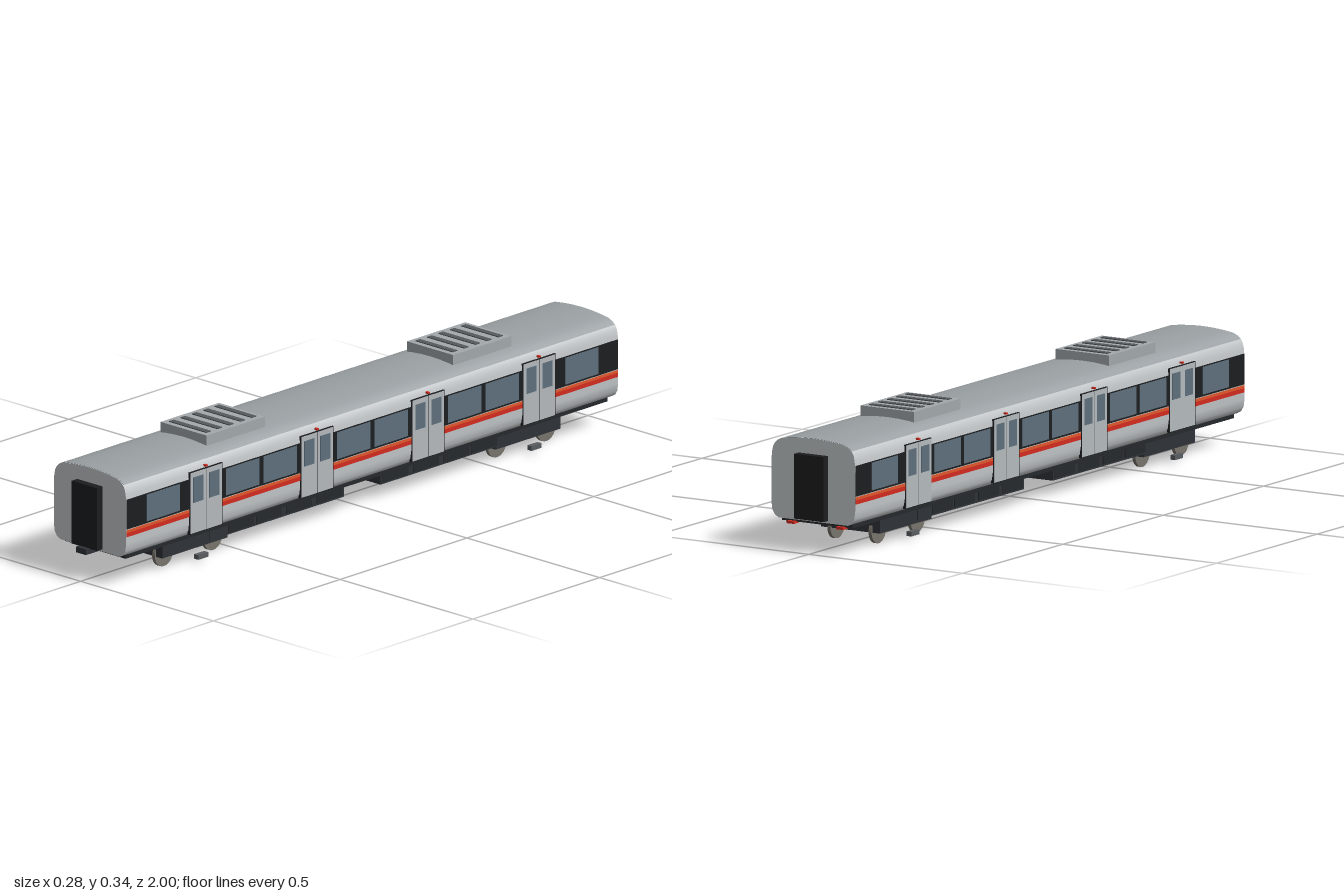
import * as THREE from 'three';
import { toCreasedNormals } from 'three/addons/utils/BufferGeometryUtils.js';

const mat = (color) => new THREE.MeshStandardMaterial({ color });
const M = {
  body: mat(0xc4c8ca), roof: mat(0x9aa0a3), door: mat(0xb4b9bc), dark: mat(0x1c1d1f),
  glass: mat(0x5d6f7b), red: mat(0xd42a20), orange: mat(0xe2562a), floor: mat(0x26292c),
  under: mat(0x2e3236), wheel: mat(0x77736c), shoe: mat(0x5a5d60), unit: mat(0xa2a8ab),
  slat: mat(0x55595c), rod: mat(0x484b4e),
};

export function createModel() {
  const car = new THREE.Group();
  car.name = 'railCar';

  // Box given by its limits on each axis
  const box = (name, m, [x0, x1], [y0, y1], [z0, z1], parent = car) => {
    const mesh = new THREE.Mesh(new THREE.BoxGeometry(x1 - x0, y1 - y0, z1 - z0), m);
    mesh.position.set((x0 + x1) / 2, (y0 + y1) / 2, (z0 + z1) / 2);
    mesh.name = name;
    parent.add(mesh);
    return mesh;
  };
  // Side panel standing slightly proud of the body on side s
  const panel = (name, m, s, out, y, z, parent = car) =>
    box(name, m, s > 0 ? [0.13, out] : [-out, -0.13], y, z, parent);
  const around = (c, half) => [c - half, c + half];
  const extrude = (name, m, pts, length) => {
    const shape = new THREE.Shape(pts);
    const geo = new THREE.ExtrudeGeometry(shape, { depth: length, bevelEnabled: false });
    geo.translate(0, 0, -length / 2);
    const mesh = new THREE.Mesh(toCreasedNormals(geo, 0.6), m);
    mesh.name = name;
    car.add(mesh);
    return mesh;
  };

  // Body cross-section: right half, mirrored to the left
  const lower = [[0.112, 0.087], [0.125, 0.094], [0.133, 0.107], [0.1365, 0.13]];
  const upper = [[0.1365, 0.235], [0.1345, 0.268], [0.131, 0.283], [0.125, 0.294],
    [0.114, 0.303], [0.1, 0.309], [0.07, 0.313], [0.035, 0.316], [0, 0.317]];
  const mirror = (half) => [...half, ...half.slice().reverse().filter((p) => p[0] > 0)
    .map(([x, y]) => [-x, y])].map(([x, y]) => new THREE.Vector2(x, y));
  extrude('bodyShell', M.body, mirror([...lower, ...upper]), 1.94);

  // Roof skin lying over the top of the shell
  const skin = upper.slice(3).map(([x, y]) => [x * 1.004, y + 0.0008]);
  extrude('roof', M.roof, mirror(skin), 1.936);

  box('floorFrame', M.floor, [-0.115, 0.115], [0.077, 0.0885], [-0.95, 0.95]);

  // Gangways at both ends, with front coupler
  for (const s of [1, -1]) {
    const z = s > 0 ? [0.95, 0.992] : [-0.992, -0.95];
    box('gangway', M.dark, [-0.048, 0.048], [0.094, 0.274], z);
  }
  box('coupler', M.under, [-0.019, 0.019], [0.079, 0.095], [0.9, 1.006]);
  for (const x of [-0.08, 0.08])
    box('tailLamp', M.red, around(x, 0.012), [0.072, 0.079], [-0.962, -0.94]);

  const doorZ = [-0.657, -0.219, 0.219, 0.657];
  for (const s of [1, -1]) {
    const side = new THREE.Group();
    side.name = s > 0 ? 'leftSide' : 'rightSide';
    car.add(side);

    // Window band and colour stripes
    panel('windowBand', M.dark, s, 0.1372, [0.17, 0.255], [-0.968, 0.968], side);
    panel('redStripe', M.red, s, 0.1373, [0.148, 0.16], [-0.968, 0.968], side);
    panel('orangeStripe', M.orange, s, 0.1373, [0.16, 0.168], [-0.968, 0.968], side);

    // Paired windows between doors, single ones at the ends
    for (const c of [-0.438, 0, 0.438])
      for (const d of [-0.074, 0.074])
        panel('window', M.glass, s, 0.1378, [0.175, 0.252], around(c + d, 0.066), side);
    for (const c of [-0.825, 0.825])
      panel('endWindow', M.glass, s, 0.1378, [0.175, 0.252], around(c, 0.065), side);

    // Double-leaf doors with a lamp above
    for (const c of doorZ) {
      const door = new THREE.Group();
      door.name = 'door';
      side.add(door);
      panel('doorFrame', M.dark, s, 0.1379, [0.096, 0.274], around(c, 0.065), door);
      for (const d of [-0.0315, 0.0315]) {
        panel('doorLeaf', M.door, s, 0.1388, [0.098, 0.272], around(c + d, 0.0305), door);
        panel('doorWindow', M.glass, s, 0.1393, [0.185, 0.258], around(c + d, 0.02), door);
      }
      panel('doorLamp', M.red, s, 0.141, [0.278, 0.283], around(c, 0.004), door);
    }
  }

  // Roof air-conditioning units with slats
  for (const c of [-0.486, 0.486]) {
    const unit = new THREE.Group();
    unit.name = 'roofUnit';
    car.add(unit);
    box('unitCase', M.unit, [-0.087, 0.087], [0.3, 0.341], around(c, 0.115), unit);
    for (let i = -2; i <= 2; i++)
      box('ventSlat', M.slat, [-0.07, 0.07], [0.338, 0.3435], around(c + i * 0.045, 0.009), unit);
  }

  for (const s of [1, -1]) {
    // Underfloor equipment
    const eq = s > 0 ? [0.072, 0.6] : [-0.6, -0.072];
    box('equipmentCase', M.under, [-0.099, 0.099], [0.043, 0.08], eq);
    for (const x of [-1, 1])
      for (const z of [0.13, 0.25, 0.37, 0.48])
        box('equipmentCover', M.floor, around(x * 0.0985, 0.0025), [0.048, 0.074], around(s * z, 0.05));

    // Bogie with wheelsets, springs and side shoes
    const c = s * 0.657;
    const bogie = new THREE.Group();
    bogie.name = 'bogie';
    car.add(bogie);
    box('bogieFrame', M.under, [-0.096, 0.096], [0.034, 0.08], around(c, 0.128), bogie);
    for (const d of [-0.097, 0.097]) {
      const axle = new THREE.Mesh(new THREE.CylinderGeometry(0.008, 0.008, 0.135, 12), M.rod);
      axle.name = 'axle';
      axle.rotation.z = Math.PI / 2;
      axle.position.set(0, 0.036, c + d);
      bogie.add(axle);
      for (const x of [-0.067, 0.067]) {
        const wheel = new THREE.Mesh(new THREE.CylinderGeometry(0.036, 0.036, 0.01, 28), M.wheel);
        wheel.name = 'wheel';
        wheel.rotation.z = Math.PI / 2;
        wheel.position.set(x, 0.036, c + d);
        bogie.add(wheel);
      }
    }
    for (const x of [-1, 1])
      box('sideShoe', M.shoe, around(x * 0.12, 0.008), [0.012, 0.025], around(c, 0.02), bogie);
  }

  // Centre the full length including the coupler
  car.children.forEach((part) => { part.position.z -= 0.007; });
  return car;
}
